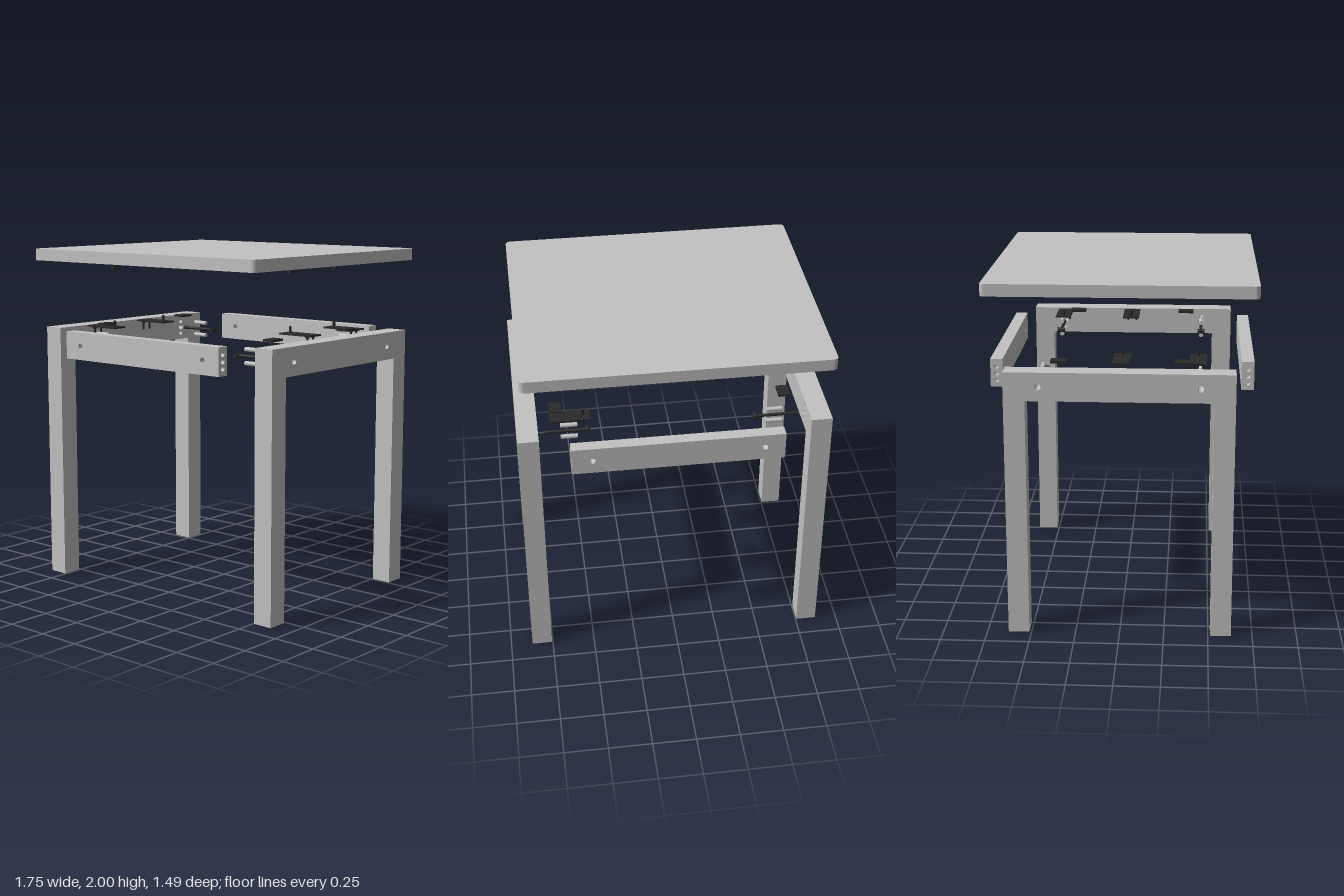
import * as THREE from 'three';

const wood = new THREE.MeshStandardMaterial({ color: 0xc2c2c2 });
wood.name = 'paleGrey';
const steel = new THREE.MeshStandardMaterial({ color: 0x2a2a2a });
steel.name = 'blackSteel';

function add(parent, name, geo, mat, x = 0, y = 0, z = 0) {
  const m = new THREE.Mesh(geo, mat);
  m.name = name;
  m.position.set(x, y, z);
  parent.add(m);
  return m;
}

function polygon(points, holes = []) {
  const s = new THREE.Shape(points.map(([x, y]) => new THREE.Vector2(x, y)));
  for (const [x, y, r] of holes) s.holes.push(new THREE.Path().absarc(x, y, r, 0, Math.PI * 2, true));
  return s;
}

const extrude = (shape, depth) =>
  new THREE.ExtrudeGeometry(shape, { depth, bevelEnabled: false, curveSegments: 10 });
// Extrusion running towards +x, with the outline in the z-y plane
const extrudeX = (shape, depth) => extrude(shape, depth).rotateY(Math.PI / 2);

const rect = (x0, x1, y0, y1) => [[x0, y0], [x1, y0], [x1, y1], [x0, y1]];

// Cylinder centred on its position, lying along the given axis
function rod(r, length, axis = 'y', sides = 16) {
  const g = new THREE.CylinderGeometry(r, r, length, sides);
  if (axis === 'x') g.rotateZ(Math.PI / 2);
  if (axis === 'z') g.rotateX(Math.PI / 2);
  return g;
}

const Y0 = 1.365, Y1 = 1.525, BOLT_Y = 1.444, DOWELS = [1.405, 1.483], JOINT_Z = 0.44;

function tableTop() {
  const w = 0.845, d = 0.747, r = 0.028;
  const s = new THREE.Shape();
  s.absarc(w - r, d - r, r, 0, Math.PI / 2);
  s.absarc(-w + r, d - r, r, Math.PI / 2, Math.PI);
  s.absarc(-w + r, -d + r, r, Math.PI, Math.PI * 1.5);
  s.absarc(w - r, -d + r, r, Math.PI * 1.5, Math.PI * 2);
  return extrude(s, 0.068).rotateX(-Math.PI / 2);
}

// Two legs joined by a beam; the inner layer also has the dowel holes
function legFrame(parent) {
  const g = new THREE.Group();
  g.name = 'legFrame';
  const o = 0.63, i = 0.512;
  const outline = [[-o, 0], [-i, 0], [-i, Y0], [i, Y0], [i, 0], [o, 0], [o, Y1], [-o, Y1]];
  const boltHoles = [-1, 1].map((s) => [s * JOINT_Z, BOLT_Y, 0.017]);
  const dowelHoles = [-1, 1].flatMap((s) => DOWELS.map((y) => [s * JOINT_Z, y, 0.014]));
  add(g, 'frameInnerLayer', extrudeX(polygon(outline, [...boltHoles, ...dowelHoles]), 0.045), wood, 0.755);
  add(g, 'frameOuterLayer', extrudeX(polygon(outline, boltHoles), 0.073), wood, 0.8);
  parent.add(g);
}

// Cross rail with nut holes through it and joint holes in both ends
function apron(parent) {
  const g = new THREE.Group();
  g.name = 'apron';
  const z0 = 0.665, t = 0.07, end = 0.55;
  const nutHoles = [-0.475, 0.475].map((x) => [x, BOLT_Y, 0.017]);
  add(g, 'apronBody', extrude(polygon(rect(-end, end, Y0, Y1), nutHoles), t), wood, 0, 0, z0);
  const endShape = polygon(rect(-t / 2, t / 2, Y0, Y1), [...DOWELS, BOLT_Y].map((y) => [0, y, 0.014]));
  for (const x of [-0.59, end]) add(g, 'apronEnd', extrudeX(endShape, 0.04), wood, x, 0, z0 + t / 2);
  parent.add(g);
}

// Bolt with a barrel nut, and two dowels
function jointHardware(parent, z) {
  const g = new THREE.Group();
  g.name = 'jointHardware';
  add(g, 'bolt', rod(0.009, 0.255, 'x', 12), steel, 0.587, BOLT_Y, z);
  add(g, 'boltHead', rod(0.012, 0.02, 'x', 6), steel, 0.705, BOLT_Y, z);
  add(g, 'barrelNut', rod(0.015, 0.045, 'z'), steel, 0.475, BOLT_Y, z);
  for (const y of DOWELS) add(g, 'dowel', rod(0.013, 0.095, 'x'), wood, 0.58, y, z);
  parent.add(g);
}

// Flat bracket with one screw up into the top and two down into the frame
function bracket(parent, name, z, halfWidth) {
  const g = new THREE.Group();
  g.name = name;
  add(g, 'bracketPlate', new THREE.BoxGeometry(0.228, 0.009, halfWidth * 2), steel, 0.571, 1.53, z);
  add(g, 'topScrew', rod(0.008, 0.042, 'y', 12), steel, 0.5, 1.55, z);
  for (const s of [-1, 1]) {
    add(g, 'frameScrew', rod(0.006, 0.055, 'y', 12), steel, 0.645, 1.502, z + s * 0.026);
    add(g, 'frameScrewHead', rod(0.013, 0.012, 'y', 12), steel, 0.645, 1.522, z + s * 0.026);
  }
  add(g, 'threadedInsert', rod(0.016, 0.036, 'y', 12), steel, 0.5, 1.889, z);
  parent.add(g);
}

function cornerPlate(parent, z) {
  add(parent, 'cornerPlate', new THREE.BoxGeometry(0.068, 0.013, 0.094), steel, 0.648, 1.534, z);
}

export function createModel() {
  const model = new THREE.Group();
  model.name = 'explodedTable';
  add(model, 'tableTop', tableTop(), wood, 0, 1.932, 0);

  // Each half is the other turned half way round
  for (const turn of [0, Math.PI]) {
    const half = new THREE.Group();
    half.name = turn ? 'secondHalf' : 'firstHalf';
    half.rotation.y = turn;
    legFrame(half);
    apron(half);
    for (const z of [-JOINT_Z, JOINT_Z]) {
      jointHardware(half, z);
      cornerPlate(half, Math.sign(z) * 0.343);
    }
    bracket(half, 'middleBracket', 0, 0.05);
    bracket(half, 'cornerBracket', -0.425, 0.047);
    model.add(half);
  }
  return model;
}
